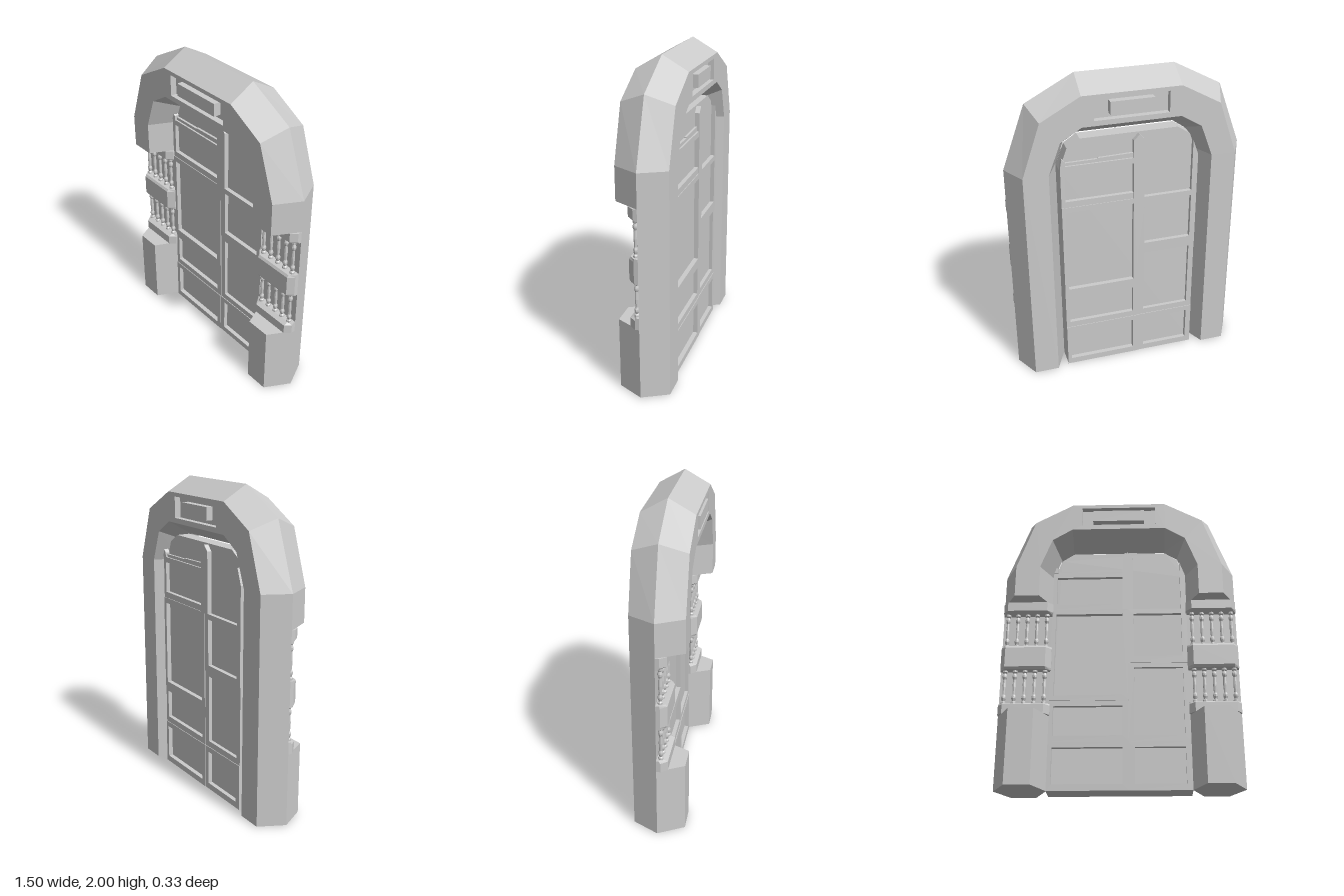
import * as THREE from 'three';

const material = new THREE.MeshStandardMaterial({ color: 0xcccccc, flatShading: true });

function add(parent, name, geometry, x = 0, y = 0, z = 0) {
  const mesh = new THREE.Mesh(geometry, material);
  mesh.name = name;
  mesh.position.set(x, y, z);
  parent.add(mesh);
  return mesh;
}

// Joins closed rings of [x, y, z] points and caps both ends
function loft(rings, skip = () => false) {
  const pos = [];
  const tri = (a, b, c) => pos.push(...a, ...b, ...c);
  const n = rings[0].length;
  for (let i = 0; i < rings.length - 1; i++) {
    for (let j = 0; j < n; j++) {
      if (skip(i, j)) continue;
      const k = (j + 1) % n;
      tri(rings[i][j], rings[i + 1][j], rings[i + 1][k]);
      tri(rings[i][j], rings[i + 1][k], rings[i][k]);
    }
  }
  const first = rings[0], last = rings[rings.length - 1];
  for (let j = 1; j < n - 1; j++) {
    tri(first[0], first[j], first[j + 1]);
    tri(last[0], last[j + 1], last[j]);
  }
  const g = new THREE.BufferGeometry();
  g.setAttribute('position', new THREE.Float32BufferAttribute(pos, 3));
  g.computeVertexNormals();
  return g;
}

const polygon = (pts) => new THREE.Shape(pts.map(([x, y]) => new THREE.Vector2(x, y)));
const rect = (x0, x1, y0, y1) => [[x0, y0], [x1, y0], [x1, y1], [x0, y1]];

function plate(pts, depth, hole) {
  const shape = polygon(pts);
  if (hole) shape.holes.push(polygon(hole));
  return new THREE.ExtrudeGeometry(shape, { depth, bevelEnabled: false });
}

const mirrorRing = (ring, s) => (s > 0 ? ring : ring.map(([x, y, z]) => [-x, y, z]).reverse());

// Frame section: outer ridge, outer face edge, inner face edge, inner ridge
const FACE = 0.16;
const section = (o, a, b, i) => [[...o, 0], [...a, FACE], [...b, FACE], [...i, 0]];
const legSection = (y) => section([0.75, y], [0.665, y], [0.51, y], [0.435, y]);

// Half of the arch (ridge to face) with a recessed plaque in the lintel
function archHalf(name, yStart, recess, plaque) {
  const group = new THREE.Group();
  group.name = name;
  const right = [
    legSection(yStart),
    legSection(1.44),
    section([0.605, 1.84], [0.55, 1.775], [0.435, 1.64], [0.385, 1.575]),
    section([0.305, 2], [0.305, 1.91], [0.305, 1.72], [0.305, 1.63]),
  ];
  const left = right.map((r) => r.map(([x, y, z]) => [-x, y, z])).reverse();
  add(group, 'archStones', loft([...right, ...left], (i, j) => i === 3 && j === 1));
  const depth = 0.04;
  add(group, 'lintelFace',
    plate(rect(-0.305, 0.305, 1.72, 1.91), depth, rect(-recess, recess, 1.752, 1.885)), 0, 0, FACE - depth);
  add(group, 'recessFloor', new THREE.PlaneGeometry(recess * 2, 0.133), 0, 1.8185, FACE - depth);
  add(group, 'plaque', new THREE.BoxGeometry(plaque * 2, 0.08, depth + 0.005), 0, 1.82, FACE - depth / 2 + 0.0025);
  return group;
}

// Faceted block ring at height y, reaching forward to depth d
const blockRing = (y, d) => [
  [0.75, y, 0], [0.75, y, d * 0.4], [0.72, y, d], [0.465, y, d], [0.43, y, d * 0.4], [0.43, y, 0],
];
const blocks = {
  lowerBlock: [[0.47, 0.065], [0.53, 0.065], [0.545, 0.035]],
  middleBlock: [[0.765, 0.055], [0.78, 0.065], [0.91, 0.065], [0.925, 0.055]],
  upperBlock: [[1.155, 0.035], [1.17, 0.065], [1.23, 0.065]],
};

// Turned baluster between two blocks
function baluster(height) {
  const profile = [
    [0.016, 0], [0.016, 0.07], [0.009, 0.1], [0.015, 0.17], [0.015, 0.22], [0.009, 0.28], [0.012, 0.5],
    [0.009, 0.72], [0.015, 0.78], [0.015, 0.83], [0.009, 0.9], [0.016, 0.93], [0.016, 1],
  ];
  return new THREE.LatheGeometry(profile.map(([r, t]) => new THREE.Vector2(r, t * height)), 8);
}

function sidePost(s) {
  const group = new THREE.Group();
  group.name = s > 0 ? 'leftPost' : 'rightPost';
  add(group, 'lowerLeg', loft([legSection(0.004), legSection(0.47)].map((r) => mirrorRing(r, s))));
  for (const [name, rows] of Object.entries(blocks)) {
    add(group, name, loft(rows.map(([y, d]) => mirrorRing(blockRing(y, d), s))));
  }
  for (const [y0, y1] of [[0.54, 0.77], [0.92, 1.16]]) {
    const g = baluster(y1 - y0);
    for (let i = 0; i < 5; i++) add(group, 'baluster', g, s * (0.468 + i * 0.0625), y0, 0.023);
  }
  return group;
}

// Raised panel frames for one side of the door, rising from z = 0
function doorTrim(name) {
  const group = new THREE.Group();
  group.name = name;
  const columns = [
    { x: [-0.435, 0.055], hole: [-0.41, 0.02], rows: [
      [0, 0.3, 0.04, 0.265, 0.03], [0.3, 0.565, 0.34, 0.53, 0.026],
      [0.565, 1.195, 0.6, 1.16, 0.03], [1.195, 1.47, 1.235, 1.435, 0.026]] },
    { x: [0.055, 0.435], hole: [0.093, 0.4], rows: [
      [0, 0.3, 0.04, 0.265, 0.027], [0.3, 0.815, 0.34, 0.785, 0.023],
      [0.815, 1.195, 0.86, 1.16, 0.027]] },
  ];
  for (const { x, hole, rows } of columns) {
    for (const [y0, y1, h0, h1, d] of rows) {
      add(group, 'panelFrame', plate(rect(...x, y0, y1), d, rect(...hole, h0, h1)));
    }
  }
  // Ledge, pointed centre post and side stubs above the panels
  add(group, 'topLedge', plate([[-0.42, 1.47], [0.02, 1.47], [0.02, 1.5], [-0.2, 1.495], [-0.2, 1.49], [-0.42, 1.488]], 0.015));
  add(group, 'centrePost', plate([[0.02, 1.195], [0.09, 1.195], [0.09, 1.585], [0.055, 1.622], [0.02, 1.585]], 0.03));
  add(group, 'sideStub', plate([[-0.435, 1.47], [-0.405, 1.47], [-0.405, 1.5], [-0.425, 1.52]], 0.03));
  add(group, 'sideRail', plate([[0.4, 1.195], [0.435, 1.195], [0.435, 1.44], [0.4, 1.54]], 0.027));
  return group;
}

export function createModel() {
  const model = new THREE.Group();
  model.name = 'archedDoor';

  // Front half stops above the baluster niches, back half runs to the ground
  model.add(archHalf('archFront', 1.23, 0.243, 0.17));
  const back = archHalf('archBack', 0.004, 0.23, 0.135);
  back.rotation.y = Math.PI;
  model.add(back, sidePost(1), sidePost(-1));

  // Door slab with the same trim turned round on its back
  const door = new THREE.Group();
  door.name = 'door';
  door.position.z = -0.055;
  const half = 0.045;
  add(door, 'doorSlab', plate([
    [-0.435, 0], [0.435, 0], [0.435, 1.44], [0.385, 1.575], [0.305, 1.628],
    [-0.305, 1.628], [-0.385, 1.575], [-0.435, 1.44],
  ], half * 2), 0, 0, -half);
  const frontTrim = doorTrim('frontTrim');
  frontTrim.position.z = half;
  const backTrim = doorTrim('backTrim');
  backTrim.position.z = -half;
  backTrim.rotation.y = Math.PI;
  door.add(frontTrim, backTrim);
  model.add(door);

  return model;
}
